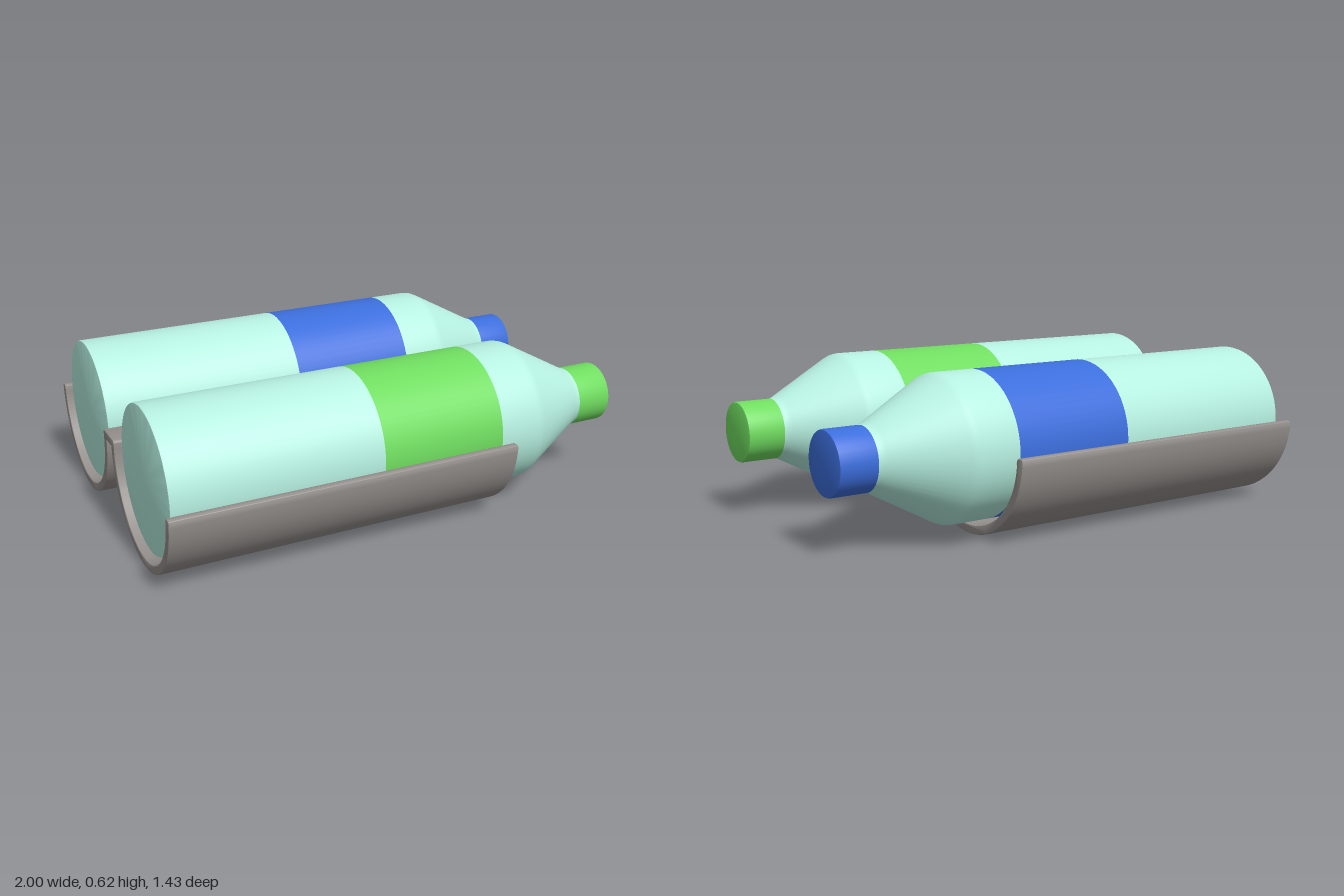
import * as THREE from 'three';
import { toCreasedNormals } from 'three/addons/utils/BufferGeometryUtils.js';

const AXIS_Y = 0.345, SPACING = 0.373;
const R = 0.283, NECK_R = 0.121;

const material = (color) => new THREE.MeshStandardMaterial({ color, side: THREE.DoubleSide });

// Surface of revolution around the x axis; points are [radius, x]
function turned(name, points, mat) {
  const geo = new THREE.LatheGeometry(points.map(([r, x]) => new THREE.Vector2(r, x)), 64);
  geo.rotateZ(-Math.PI / 2);
  const mesh = new THREE.Mesh(toCreasedNormals(geo, 0.6), mat);
  mesh.name = name;
  return mesh;
}

function createBottle(name, accent, shell) {
  const bottle = new THREE.Group();
  bottle.name = name;
  bottle.add(
    // Closed base and plain part of the body
    turned('body', [[0, -0.975], [R - 0.008, -0.975], [R - 0.002, -0.973], [R, -0.966], [R, -0.145]], shell),
    turned('labelBand', [[R, -0.145], [R, 0.365]], accent),
    // Rounded shoulder tapering to the neck
    turned('shoulder', [[R, 0.365], [R, 0.53], [R - 0.003, 0.548], [R - 0.012, 0.567],
      [NECK_R + 0.012, 0.82], [NECK_R + 0.003, 0.836], [NECK_R, 0.85]], shell),
    turned('cap', [[NECK_R, 0.85], [NECK_R, 0.992], [NECK_R - 0.002, 0.998], [NECK_R - 0.008, 1], [0, 1]], accent),
  );
  return bottle;
}

// Double trough: two half-round cradles joined by a raised bridge
function createHolder() {
  const c = 0.374, ro = 0.34, ri = 0.305, y = AXIS_Y, top = 0.38;
  const k = 0.014, a = 0.04;
  const s = new THREE.Shape();
  s.moveTo(-c - ro, y - k);
  s.absarc(-c, y, ro, Math.PI + a, 2 * Math.PI, false);
  s.lineTo(c - ro, y);
  s.absarc(c, y, ro, Math.PI, 2 * Math.PI - a, false);
  // Rounded lip
  s.quadraticCurveTo(c + ro, y, c + ro - k, y);
  s.lineTo(c + ri + k, y);
  s.quadraticCurveTo(c + ri, y, c + ri, y - k);
  s.absarc(c, y, ri, -a, -Math.PI, true);
  // Bridge top
  s.lineTo(c - ri, top - k);
  s.quadraticCurveTo(c - ri, top, c - ri - k, top);
  s.lineTo(-c + ri + k, top);
  s.quadraticCurveTo(-c + ri, top, -c + ri, top - k);
  s.lineTo(-c + ri, y);
  s.absarc(-c, y, ri, 0, -Math.PI + a, true);
  // Opposite lip
  s.quadraticCurveTo(-c - ri, y, -c - ri - k, y);
  s.lineTo(-c - ro + k, y);
  s.quadraticCurveTo(-c - ro, y, -c - ro, y - k);

  const b = 0.005;
  const geo = new THREE.ExtrudeGeometry(s, {
    depth: 1.4 - 2 * b, curveSegments: 32,
    bevelEnabled: true, bevelThickness: b, bevelSize: b, bevelOffset: -b, bevelSegments: 2,
  });
  geo.translate(0, 0, b - 1);
  geo.rotateY(Math.PI / 2);
  const mesh = new THREE.Mesh(toCreasedNormals(geo, 0.6), material(0x96918e));
  mesh.name = 'holder';
  return mesh;
}

export function createModel() {
  const model = new THREE.Group();
  model.name = 'bottleRack';
  const shell = material(0xb6f0e0);
  model.add(createHolder());
  [['frontBottle', 0x70dd60, 1], ['backBottle', 0x3c6edc, -1]].forEach(([name, color, side]) => {
    const bottle = createBottle(name, material(color), shell);
    bottle.position.set(0, AXIS_Y, side * SPACING);
    model.add(bottle);
  });
  return model;
}
